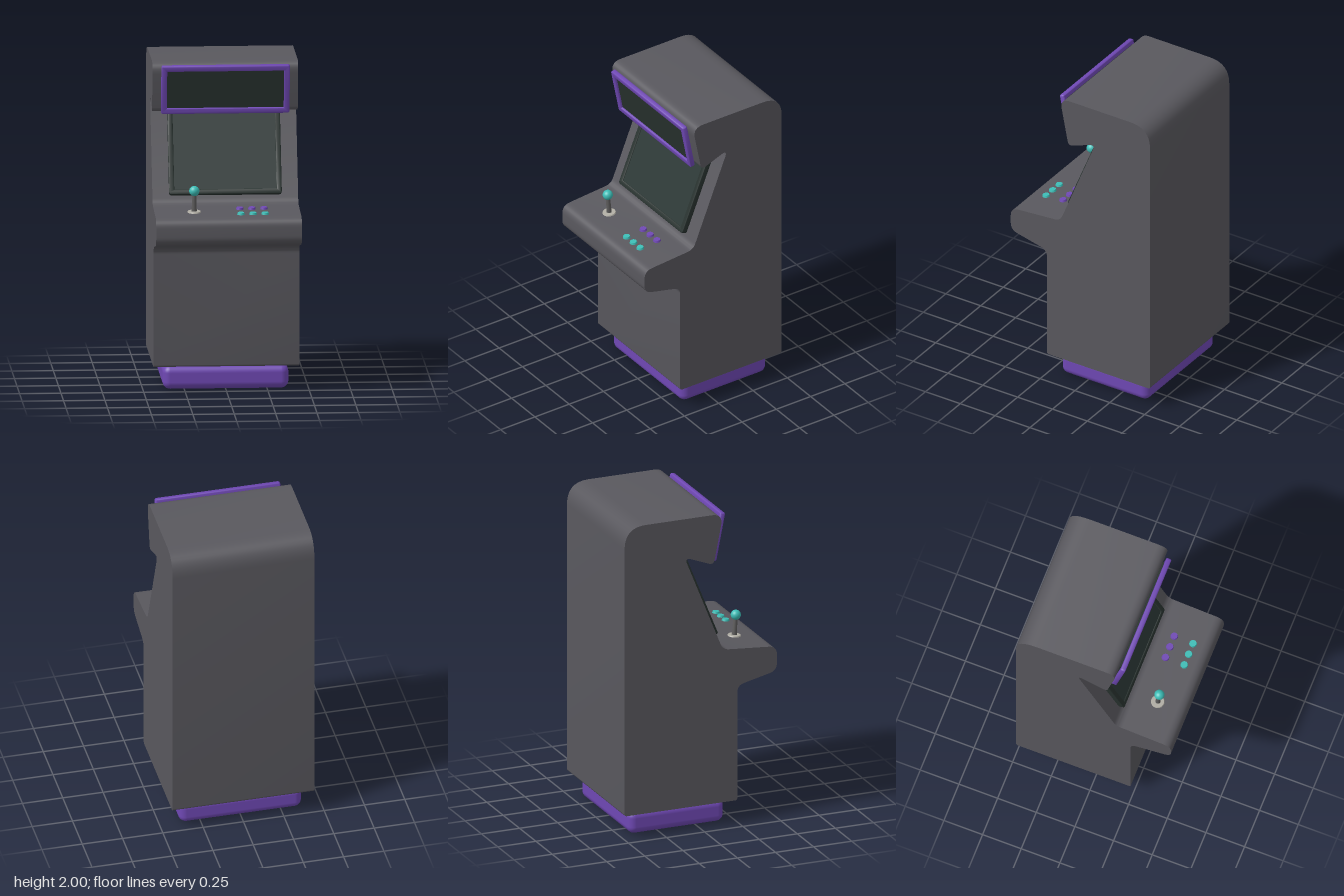
import * as THREE from 'three';
import { toCreasedNormals } from 'three/addons/utils/BufferGeometryUtils.js';
import { RoundedBoxGeometry } from 'three/addons/geometries/RoundedBoxGeometry.js';

const mat = (name, color) => {
  const m = new THREE.MeshStandardMaterial({ color });
  m.name = name;
  return m;
};

// Closed outline through corner points [x, y, radius], each corner rounded
function roundedOutline(target, pts) {
  const v = pts.map(([x, y]) => new THREE.Vector2(x, y));
  pts.forEach(([, , r], i) => {
    const p = v[i], prev = v[(i + v.length - 1) % v.length], next = v[(i + 1) % v.length];
    const a = prev.clone().sub(p).setLength(r).add(p);
    const b = next.clone().sub(p).setLength(r).add(p);
    if (i === 0) target.moveTo(a.x, a.y);
    else target.lineTo(a.x, a.y);
    target.quadraticCurveTo(p.x, p.y, b.x, b.y);
  });
  target.closePath();
  return target;
}

const rect = (target, w, h, r) => roundedOutline(target, [
  [-w / 2, -h / 2, r], [w / 2, -h / 2, r], [w / 2, h / 2, r], [-w / 2, h / 2, r],
]);

// Rectangular frame with a softly bevelled edge, its back at z = 0
function frameGeometry(w, h, border, depth, bevel, r) {
  const shape = rect(new THREE.Shape(), w - 2 * bevel, h - 2 * bevel, r);
  shape.holes.push(rect(new THREE.Path(), w - 2 * border + 2 * bevel, h - 2 * border + 2 * bevel, 0.004));
  const g = new THREE.ExtrudeGeometry(shape, {
    depth: depth - 2 * bevel, bevelEnabled: true, bevelSize: bevel, bevelThickness: bevel,
    bevelSegments: 3, curveSegments: 4,
  });
  g.translate(0, 0, bevel);
  return toCreasedNormals(g, 0.7);
}

export function createModel() {
  const grey = mat('cabinet grey', 0x59585e);
  const purple = mat('trim purple', 0x6f48b4);
  const glass = mat('dark glass', 0x2c3836);
  const bezelDark = mat('bezel dark', 0x28322f);
  const teal = mat('control teal', 0x3cbdb6);
  const metal = mat('stick metal', 0x5e5d5d);
  const plate = mat('washer grey', 0xb0ada4);

  const model = new THREE.Group();
  model.name = 'arcadeCabinet';
  const add = (name, geometry, material, parent = model, x = 0, y = 0, z = 0) => {
    const m = new THREE.Mesh(geometry, material);
    m.name = name;
    m.position.set(x, y, z);
    parent.add(m);
    return m;
  };
  const tilted = (name, y, z, angle) => {
    const g = new THREE.Group();
    g.name = name;
    g.position.set(0, y, z);
    g.rotation.x = angle;
    model.add(g);
    return g;
  };

  // Cabinet: side profile (z, y) extruded across the width
  const profile = roundedOutline(new THREE.Shape(), [
    [-0.5, 0.15, 0.015], [0.24, 0.15, 0.015],
    [0.24, 0.885, 0.045], [0.5, 0.945, 0.05],
    [0.5, 1.1, 0.055], [0.145, 1.128, 0.04],
    [-0.107, 1.755, 0.05], [0.085, 1.68, 0.035],
    [0.148, 2, 0.075], [-0.5, 2, 0.14],
  ]);
  const body = new THREE.ExtrudeGeometry(profile, { depth: 0.88, bevelEnabled: false, curveSegments: 8 });
  body.translate(0, 0, -0.44);
  body.rotateY(-Math.PI / 2);
  add('cabinet', toCreasedNormals(body, 0.6), grey);

  // Plinth
  add('base', new RoundedBoxGeometry(0.76, 0.145, 0.625, 5, 0.045), purple, model, 0, 0.0725, -0.128);
  add('baseJoint', new THREE.BoxGeometry(0.66, 0.02, 0.52), purple, model, 0, 0.145, -0.128);

  // Screen leaning back on the sloped face
  const screen = tilted('screen', 1.442, 0.02, -0.387);
  add('screenBezel', frameGeometry(0.68, 0.565, 0.031, 0.036, 0.004, 0.012), bezelDark, screen);
  add('screenGlass', new THREE.BoxGeometry(0.63, 0.51, 0.03), glass, screen, 0, 0, 0.016);

  // Marquee leaning forward on the hood
  const marquee = tilted('marquee', 1.836, 0.124, 0.193);
  add('marqueeFrame', frameGeometry(0.776, 0.308, 0.035, 0.032, 0.007, 0.006), purple, marquee);
  add('marqueePanel', new THREE.BoxGeometry(0.72, 0.25, 0.03), bezelDark, marquee, 0, 0, 0.003);

  // Controls on the sloping deck
  const deck = tilted('controls', 1.114, 0.322, 0.079);
  add('stickWasher', new THREE.CylinderGeometry(0.038, 0.042, 0.008, 32), plate, deck, -0.2, 0.003, 0);
  add('stick', new THREE.CylinderGeometry(0.012, 0.016, 0.12, 20), metal, deck, -0.2, 0.06, 0);
  add('stickBall', new THREE.SphereGeometry(0.031, 28, 18), teal, deck, -0.2, 0.132, 0);
  const cap = new THREE.CylinderGeometry(0.02, 0.024, 0.014, 24);
  [[-0.059, purple, 'rearButton'], [0.063, teal, 'frontButton']].forEach(([z, m, name]) => {
    [0.079, 0.152, 0.225].forEach((x) => add(name, cap, m, deck, x, 0.005, z));
  });

  return model;
}
